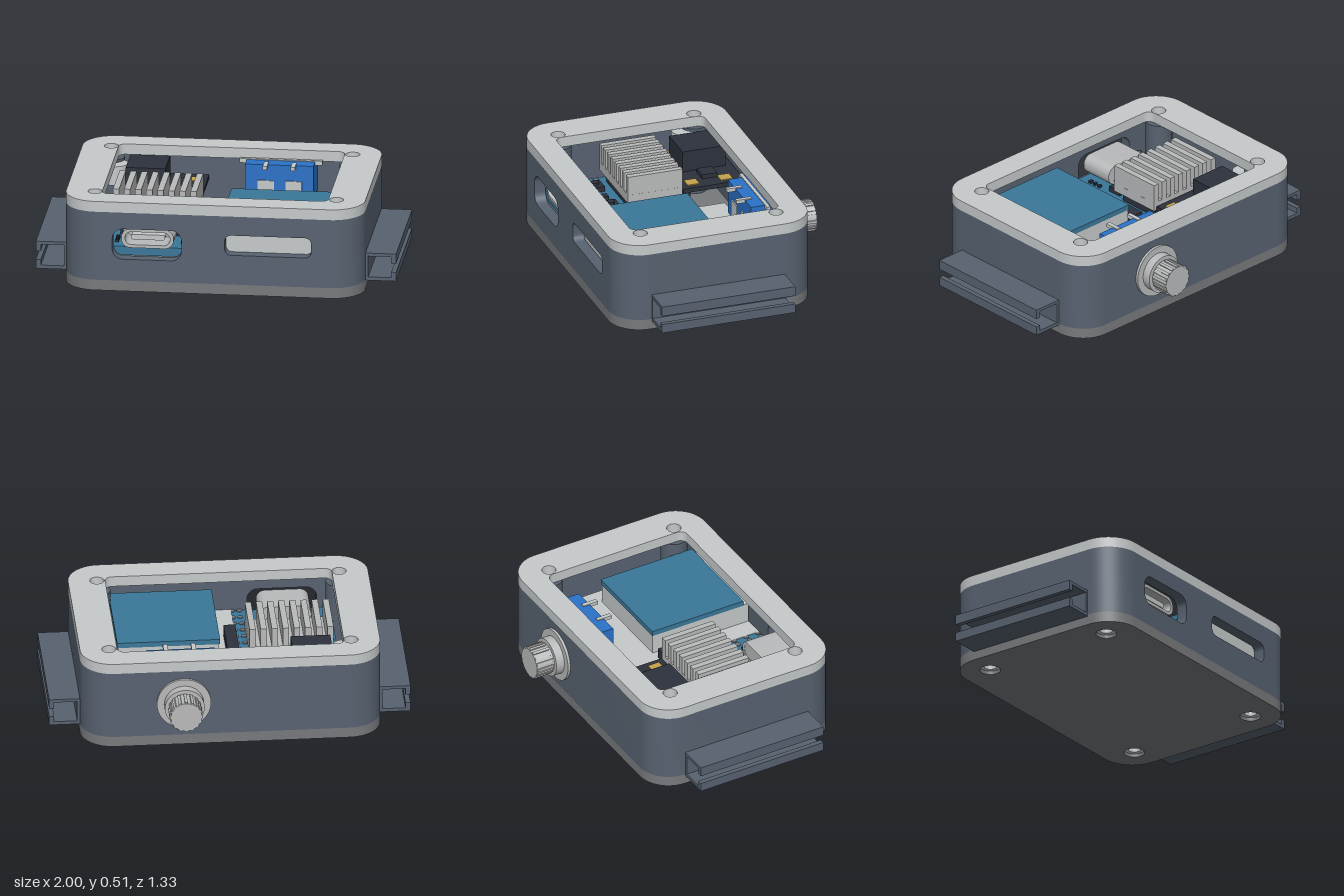
import * as THREE from 'three';
import { toCreasedNormals } from 'three/addons/utils/BufferGeometryUtils.js';

const mat = (name, color) => {
  const m = new THREE.MeshStandardMaterial({ color });
  m.name = name;
  return m;
};

export function createModel() {
  const root = new THREE.Group();
  const light = mat('light grey', 0xc6cacb);
  const slate = mat('slate', 0x576270);
  const base = mat('base grey', 0x77797c);
  const board = mat('board blue', 0x3a7799);
  const blue = mat('bright blue', 0x2a72c8);
  const dark = mat('dark', 0x2c313c);
  const gold = mat('gold', 0xc4a34e);
  const steel = mat('steel', 0xb9babb);

  const add = (name, geo, material, parent = root) => {
    const m = new THREE.Mesh(geo, material);
    m.name = name;
    parent.add(m);
    return m;
  };
  // box from its limits
  const box = (name, material, x0, x1, y0, y1, z0, z1) => {
    const m = add(name, new THREE.BoxGeometry(x1 - x0, y1 - y0, z1 - z0), material);
    m.position.set((x0 + x1) / 2, (y0 + y1) / 2, (z0 + z1) / 2);
    return m;
  };
  const roundRect = (x0, x1, y0, y1, r, Type = THREE.Shape) => {
    const s = new Type(), q = Math.PI / 2;
    s.moveTo(x0 + r, y0);
    s.absarc(x1 - r, y0 + r, r, -q, 0);
    s.absarc(x1 - r, y1 - r, r, 0, q);
    s.absarc(x0 + r, y1 - r, r, q, 2 * q);
    s.absarc(x0 + r, y0 + r, r, 2 * q, 3 * q);
    s.closePath();
    return s;
  };
  const disc = (x, y, r) => new THREE.Path().absarc(x, y, r, 0, Math.PI * 2);
  const extrude = (shape, depth) => toCreasedNormals(
    new THREE.ExtrudeGeometry(shape, { depth, bevelEnabled: false, curveSegments: 10 }), 0.5);
  // flat plan drawn in x and -z, raised from y0 to y1
  const slab = (name, material, shape, y0, y1) => {
    const m = add(name, extrude(shape, y1 - y0).rotateX(-Math.PI / 2), material);
    m.position.y = y0;
    return m;
  };
  const corners = [[-0.67, -0.485], [0.67, -0.485], [-0.67, 0.31], [0.67, 0.31]];
  const outline = () => roundRect(-0.83, 0.83, -0.665, 0.49, 0.18);

  // base plate with counterbored holes
  const plate = outline();
  corners.forEach(([x, y]) => plate.holes.push(disc(x, y, 0.058)));
  slab('basePlate', base, plate, 0, 0.06);

  // window lid
  const lid = outline();
  lid.holes.push(roundRect(-0.63, 0.625, -0.52, 0.35, 0.04, THREE.Path));
  corners.forEach(([x, y]) => lid.holes.push(disc(x, y, 0.04)));
  slab('lid', light, lid, 0.455, 0.515);

  // side and back walls
  const u = new THREE.Shape(), q = Math.PI / 2;
  u.moveTo(-0.65, -0.665);
  u.absarc(-0.65, -0.485, 0.18, 3 * q, 2 * q, true);
  u.absarc(-0.65, 0.31, 0.18, 2 * q, q, true);
  u.absarc(0.65, 0.31, 0.18, q, 0, true);
  u.absarc(0.65, -0.485, 0.18, 0, -q, true);
  [[0.65, -0.6], [0.765, -0.6], [0.765, 0.43], [-0.765, 0.43], [-0.765, -0.6], [-0.65, -0.6]]
    .forEach(([x, y]) => u.lineTo(x, y));
  u.closePath();
  slab('bodyWalls', slate, u, 0.06, 0.455);

  // front wall with port and slot
  const front = roundRect(-0.65, 0.65, 0.06, 0.455, 0.0001);
  front.holes.push(roundRect(-0.555, -0.17, 0.185, 0.36, 0.06, THREE.Path));
  front.holes.push(roundRect(0.07, 0.55, 0.23, 0.345, 0.035, THREE.Path));
  add('frontWall', extrude(front, 0.065), slate).position.z = 0.6;

  // screw posts and recessed rings below
  corners.forEach(([x, y], i) => {
    const post = new THREE.Shape().absarc(x, y, 0.075, 0, Math.PI * 2);
    post.holes.push(disc(x, y, 0.04));
    slab('screwPost', slate, post, 0.06, 0.455);
    const ring = new THREE.Shape().absarc(x, y, 0.058, 0, Math.PI * 2);
    ring.holes.push(disc(x, y, 0.034));
    slab('screwSeat', light, ring, 0.02, 0.06);
    if (i === 1) add('screw', new THREE.CylinderGeometry(0.04, 0.04, 0.06, 20), light).position.set(x, 0.3, -y);
  });

  // slotted strap rails on both sides
  for (const s of [1, -1]) {
    const g = new THREE.Group();
    g.name = s > 0 ? 'leftRail' : 'rightRail';
    const profile = new THREE.Shape([[0.825, 0.05], [1, 0.05], [1, 0.102], [0.972, 0.102], [0.972, 0.07], [0.845, 0.07],
      [0.845, 0.19], [0.972, 0.19], [0.972, 0.152], [1, 0.152], [1, 0.208], [0.825, 0.208]]
      .map(([x, y]) => new THREE.Vector2(s * x, y)));
    add('railProfile', extrude(profile, 0.78), slate, g).position.z = -0.305;
    root.add(g);
  }

  // round connector on the back
  const connector = new THREE.Group();
  connector.name = 'backConnector';
  connector.position.set(0.27, 0.26, 0);
  root.add(connector);
  const ringPart = (name, r, z0, z1, seg) => {
    const geo = toCreasedNormals(new THREE.CylinderGeometry(r, r, z1 - z0, seg).rotateX(q), 0.5);
    add(name, geo, steel, connector).position.z = (z0 + z1) / 2;
  };
  ringPart('flange', 0.15, -0.505, -0.485, 40);
  ringPart('nut', 0.11, -0.555, -0.505, 32);
  ringPart('cap', 0.086, -0.665, -0.555, 32);
  ringPart('jack', 0.08, -0.485, -0.4, 24);
  for (let i = 0; i < 16; i++) {
    const a = i * Math.PI / 8;
    const rib = add('grip', new THREE.BoxGeometry(0.012, 0.016, 0.1), steel, connector);
    rib.position.set(0.086 * Math.cos(a), 0.086 * Math.sin(a), -0.613);
    rib.rotation.z = a;
  }

  // battery tray, cell and its blue top
  box('tray', light, -0.08, 0.69, 0.06, 0.24, -0.28, 0.595);
  box('cell', light, 0.035, 0.595, 0.24, 0.36, -0.015, 0.595);
  box('cellTop', board, 0.03, 0.6, 0.36, 0.39, -0.02, 0.56);
  box('trayHeader', dark, -0.08, -0.015, 0.24, 0.3, -0.01, 0.31);

  // blue terminal at the back wall
  box('terminal', blue, 0.08, 0.46, 0.26, 0.46, -0.43, -0.24);
  box('terminalStrip', light, 0.04, 0.5, 0.44, 0.465, -0.34, -0.32);
  for (const x of [0.195, 0.35]) {
    box('terminalPin', light, x - 0.012, x + 0.012, 0.445, 0.466, -0.28, -0.19);
    box('terminalContact', light, x - 0.045, x + 0.045, 0.27, 0.37, -0.242, -0.233);
  }

  // main circuit board with pads along its edges
  box('mainBoard', board, -0.63, -0.07, 0.185, 0.235, -0.13, 0.59);
  for (let i = 0; i < 10; i++) for (const x of [-0.605, -0.125, -0.085]) {
    add('pad', new THREE.CylinderGeometry(0.015, 0.015, 0.006, 12), base).position.set(x, 0.237, -0.08 + i * 0.08 * 0.92);
  }
  // buttons and small chips
  for (const x of [-0.495, -0.235]) {
    box('button', dark, x - 0.047, x + 0.047, 0.235, 0.265, 0.29, 0.375);
    add('buttonCap', new THREE.CylinderGeometry(0.022, 0.022, 0.02, 20), dark).position.set(x, 0.27, 0.333);
  }
  box('chip', dark, -0.387, -0.343, 0.235, 0.255, 0.305, 0.357);
  for (const x of [-0.545, -0.18]) for (const z of [0.44, 0.475, 0.51]) {
    box('resistor', dark, x - 0.01, x + 0.01, 0.235, 0.25, z - 0.008, z + 0.008);
  }

  // charging port
  const shell = roundRect(-0.51, -0.22, 0.235, 0.345, 0.05);
  shell.holes.push(roundRect(-0.49, -0.24, 0.253, 0.327, 0.036, THREE.Path));
  add('portShell', extrude(shell, 0.2), steel).position.z = 0.41;
  box('portBack', steel, -0.49, -0.24, 0.25, 0.33, 0.412, 0.46);
  add('portTongue', extrude(roundRect(-0.46, -0.27, 0.275, 0.305, 0.014), 0.13), light).position.z = 0.455;

  // heat sink with fins along z
  box('heatSinkChip', dark, -0.56, -0.17, 0.235, 0.3, -0.02, 0.24);
  box('heatSinkBase', steel, -0.595, -0.13, 0.3, 0.35, -0.05, 0.27);
  for (let i = 0; i < 8; i++) {
    const x = -0.595 + i * 0.0615;
    box('heatSinkFin', steel, x, x + 0.034, 0.35, 0.46, -0.05, 0.27);
  }

  // dark module with gold pads
  box('moduleBoard', dark, -0.63, -0.14, 0.305, 0.33, -0.42, -0.06);
  box('moduleHeader', dark, -0.4, -0.17, 0.235, 0.305, -0.11, -0.065);
  box('moduleBlock', dark, -0.57, -0.35, 0.33, 0.452, -0.38, -0.13);
  box('moduleChip', dark, -0.32, -0.23, 0.33, 0.355, -0.29, -0.2);
  for (const [x, z] of [[-0.205, -0.13], [-0.205, -0.325], [-0.615, -0.11]]) {
    const w = x < -0.5 ? 0.012 : 0.034;
    box('goldPad', gold, x - w, x + w, 0.33, 0.336, z - 0.035, z + 0.035);
  }
  add('capacitor', new THREE.CylinderGeometry(0.07, 0.07, 0.11, 28), light).position.set(-0.64, 0.385, -0.24);

  return root;
}
